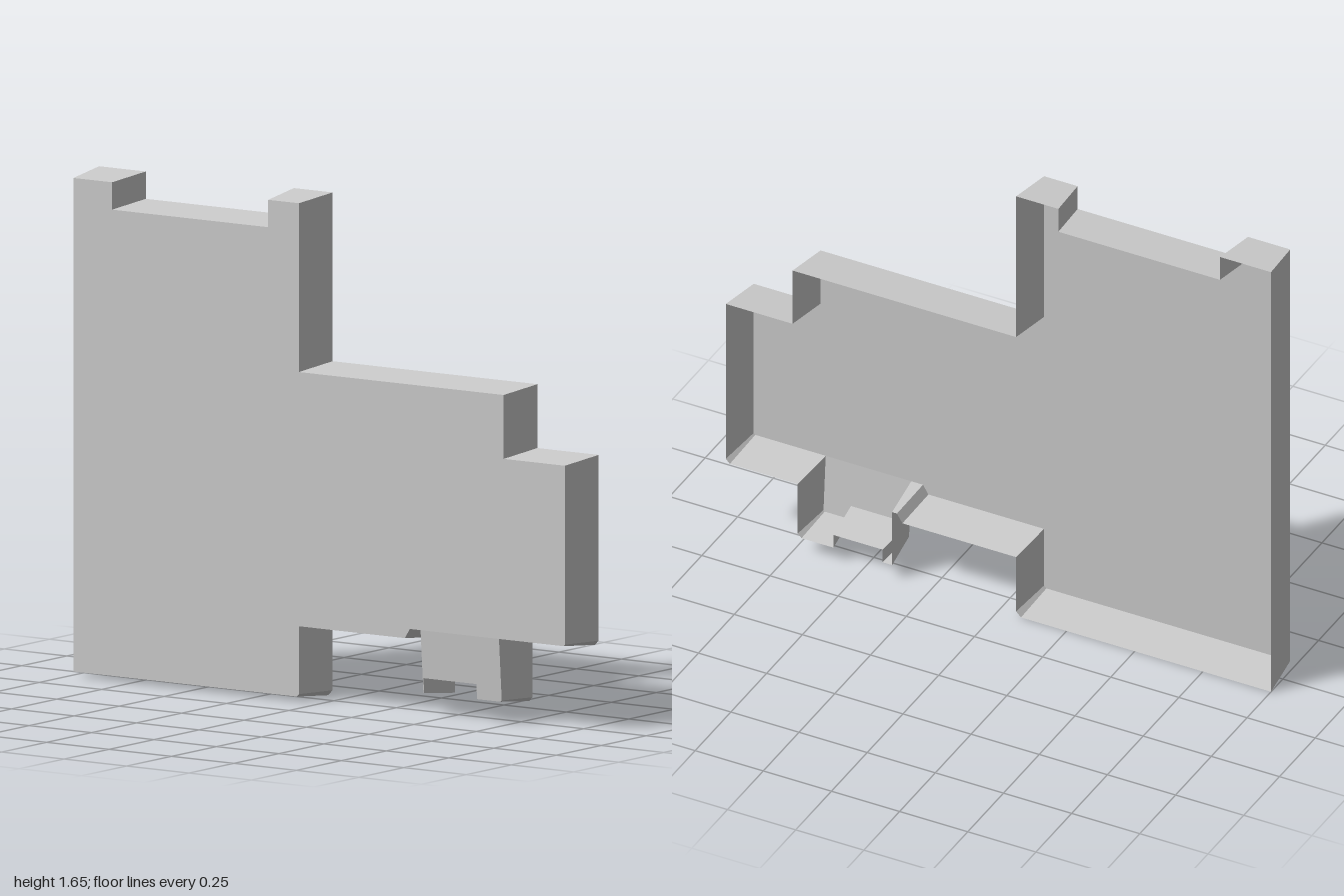
import * as THREE from 'three';

const DEPTH = 0.0825;   // half depth of the tray
const DRAFT = 0.016;    // how far the walls lean in towards the front
const TAB_TOP = 0.28;   // crease where the small tab starts to lean back

// Open rear rim, anticlockwise seen from the front
const rim = [
  [-1, 0], [-0.083, 0], [-0.065, 0.018], [-0.065, 0.232], [0.352, 0.232], [0.372, 0.264],
  [0.39, 0.264],
  // tab: thin fin, notch, foot
  [0.39, 0.055], [0.425, 0.055], [0.425, 0.105], [0.605, 0.105], [0.605, 0.055],
  [0.722, 0.055], [0.736, 0.069], [0.736, 0.264],
  [0.985, 0.264], [1, 0.279], [1, 0.89], [0.755, 0.89], [0.755, 1.1], [-0.065, 1.1],
  [-0.065, 1.655], [-0.22, 1.655], [-0.22, 1.565], [-0.813, 1.565], [-0.813, 1.655], [-1, 1.655],
].map(([x, y]) => new THREE.Vector2(x, y));
const TAB_FIRST = 6, TAB_LAST = 14;

// Mitred inward offset of a closed outline
function inset(points, d) {
  const n = points.length;
  const inward = (a, b) => {
    const e = b.clone().sub(a).normalize();
    return new THREE.Vector2(-e.y, e.x);
  };
  return points.map((p, i) => {
    const n1 = inward(points[(i + n - 1) % n], p);
    const n2 = inward(p, points[(i + 1) % n]);
    return p.clone().addScaledVector(n1.clone().add(n2), d / (1 + n1.dot(n2)));
  });
}

export function createModel() {
  const group = new THREE.Group();
  const material = new THREE.MeshStandardMaterial({ color: 0xcccccc, side: THREE.DoubleSide });
  const front = inset(rim, DRAFT);

  const add = (name, geometry) => {
    const mesh = new THREE.Mesh(geometry, material);
    mesh.name = name;
    group.add(mesh);
  };

  // The tab's face leans back below the crease
  const isTab = (i) => i >= TAB_FIRST && i <= TAB_LAST;
  const frontZ = (y, tab) => DEPTH - (tab ? 0.075 * Math.max(0, TAB_TOP - y) : 0);

  // Flat front panel and leaning tab panel
  const panel = (points, tab) => {
    const g = new THREE.ShapeGeometry(new THREE.Shape(points));
    const p = g.attributes.position;
    for (let i = 0; i < p.count; i++) p.setZ(i, frontZ(p.getY(i), tab));
    g.computeVertexNormals();
    return g;
  };
  add('frontPanel', panel(front.filter((_, i) => i <= TAB_FIRST || i >= TAB_LAST), false));
  add('tabPanel', panel(front.slice(TAB_FIRST, TAB_LAST + 1), true));

  // Thin drafted walls from the rear rim to the front outline
  const pos = [];
  rim.forEach((a, i) => {
    const j = (i + 1) % rim.length;
    const b = rim[j], fa = front[i], fb = front[j];
    const A = [a.x, a.y, -DEPTH], B = [b.x, b.y, -DEPTH];
    const FA = [fa.x, fa.y, frontZ(fa.y, isTab(i))];
    const FB = [fb.x, fb.y, frontZ(fb.y, isTab(j))];
    pos.push(...A, ...B, ...FB, ...A, ...FB, ...FA);
  });
  const walls = new THREE.BufferGeometry();
  walls.setAttribute('position', new THREE.Float32BufferAttribute(pos, 3));
  walls.computeVertexNormals();
  add('sideWalls', walls);

  return group;
}
